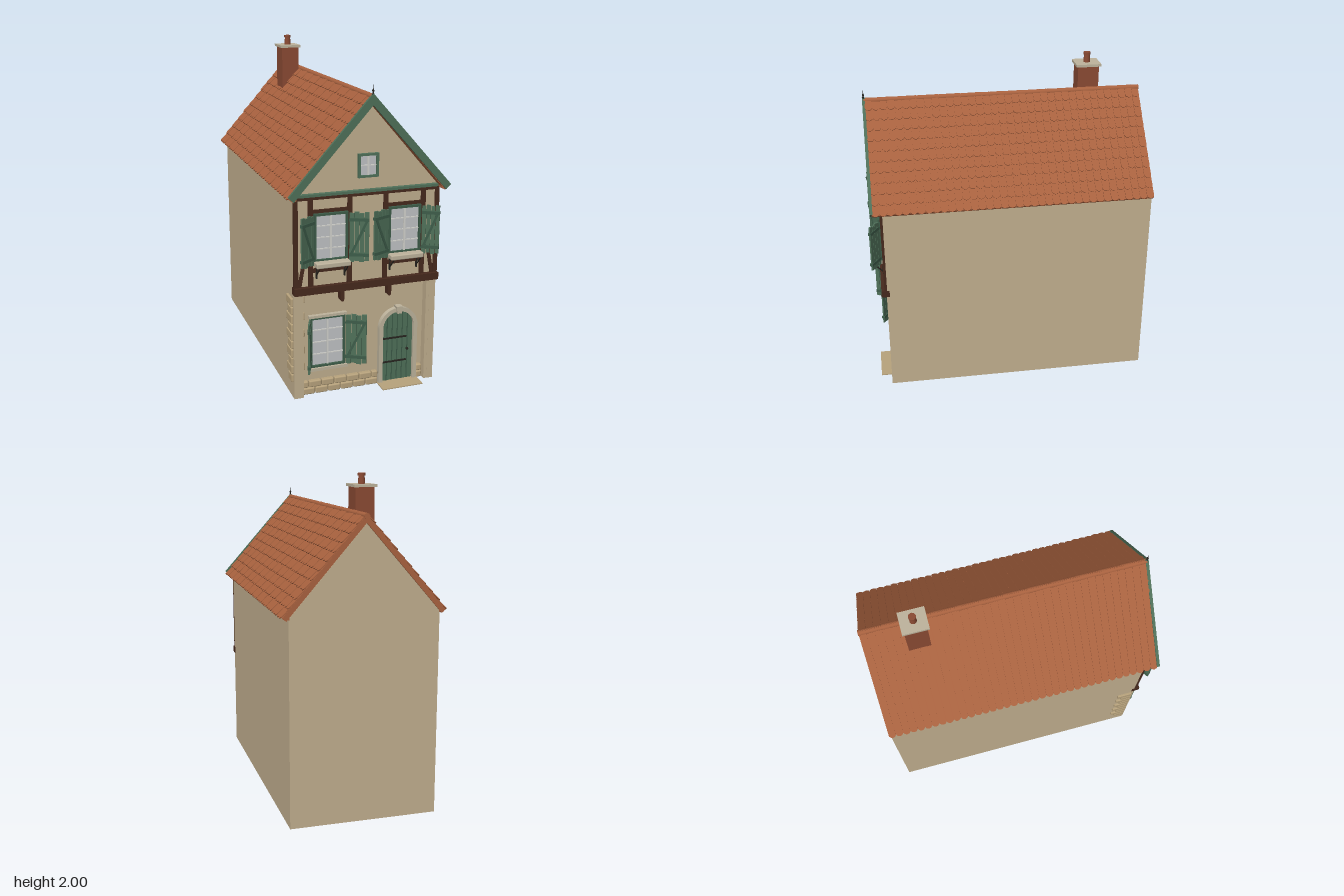
import * as THREE from 'three';
import { mergeGeometries } from 'three/addons/utils/BufferGeometryUtils.js';
import { RoundedBoxGeometry } from 'three/addons/geometries/RoundedBoxGeometry.js';

const mat = (color, side = THREE.FrontSide) => new THREE.MeshStandardMaterial({ color, side });
const PLASTER = mat(0xc0ae8e), TILE = mat(0xa9623f), GREEN = mat(0x4f7059), DARKGREEN = mat(0x3d5c49);
const TIMBER = mat(0x46291d), STONE = mat(0xbdb39c), BLOCK = mat(0xb7a27c), IRON = mat(0x26241f);
const PANE = mat(0xbfc2c4), WHITE = mat(0xd2d2cd), BRICK = mat(0x8a4a33), FLOOR = mat(0x5f5646);

function add(parent, name, geo, material, x = 0, y = 0, z = 0) {
  const m = new THREE.Mesh(geo, material);
  m.name = name;
  m.position.set(x, y, z);
  parent.add(m);
  return m;
}
// Box given by its limits
function box(parent, name, material, x0, x1, y0, y1, z0, z1) {
  return add(parent, name, new THREE.BoxGeometry(x1 - x0, y1 - y0, z1 - z0), material,
    (x0 + x1) / 2, (y0 + y1) / 2, (z0 + z1) / 2);
}
// Straight bar between two points in a plane of constant z
function bar(parent, name, material, x0, y0, x1, y1, z, w, d) {
  const len = Math.hypot(x1 - x0, y1 - y0);
  const m = add(parent, name, new THREE.BoxGeometry(w, len, d), material, (x0 + x1) / 2, (y0 + y1) / 2, z);
  m.rotation.z = -Math.atan2(x1 - x0, y1 - y0);
  return m;
}
function prism(points, depth) {
  const shape = new THREE.Shape(points.map(p => new THREE.Vector2(...p)));
  return new THREE.ExtrudeGeometry(shape, { depth, bevelEnabled: false });
}
function group(parent, name, x = 0, y = 0, z = 0) {
  const g = new THREE.Group();
  g.name = name;
  g.position.set(x, y, z);
  parent.add(g);
  return g;
}

// Framed window with glazing bars, centred on its position
function addWindow(parent, name, x, y, z, w, h, cols, rows, frame) {
  const g = group(parent, name, x, y, z), t = 0.013;
  box(g, 'pane', PANE, -w / 2, w / 2, -h / 2, h / 2, -0.01, 0.004);
  for (const s of [-1, 1]) {
    box(g, 'frameSide', frame, s * w / 2 - t / 2, s * w / 2 + t / 2, -h / 2 - t / 2, h / 2 + t / 2, -0.01, 0.018);
    box(g, 'frameRail', frame, -w / 2, w / 2, s * h / 2 - t / 2, s * h / 2 + t / 2, -0.01, 0.018);
  }
  for (let i = 1; i < cols; i++) {
    const bx = -w / 2 + w * i / cols;
    box(g, 'glazingBar', WHITE, bx - 0.006, bx + 0.006, -h / 2, h / 2, 0, 0.012);
  }
  for (let j = 1; j < rows; j++) {
    const by = -h / 2 + h * j / rows;
    box(g, 'glazingBar', WHITE, -w / 2, w / 2, by - 0.003, by + 0.003, 0, 0.01);
  }
}

// Plank shutter hinged at its position; s = +1 reaches to +x, -1 to -x
function addShutter(parent, x, y, z, s, w, h, angle) {
  const g = group(parent, 'shutter', x, y, z), n = 4, pw = w / n;
  for (let i = 0; i < n; i++) {
    const c = s * (i + 0.5) * pw, lift = i % 2 ? 0.004 : -0.003;
    box(g, 'plank', GREEN, c - pw * 0.46, c + pw * 0.46, -h / 2 + lift, h / 2 + lift, -0.005, 0.005);
  }
  const lo = Math.min(0, s * w), hi = Math.max(0, s * w);
  for (const k of [-1, 1])
    box(g, 'batten', DARKGREEN, lo, hi, k * h * 0.36 - 0.009, k * h * 0.36 + 0.009, -0.009, 0.011);
  bar(g, 'diagonalBrace', DARKGREEN, s * 0.012, -h * 0.35, s * (w - 0.012), h * 0.35, 0.006, 0.014, 0.008);
  g.rotation.y = -s * angle;
}

function addRoof(root) {
  const A = 0.48, B = 0.55, len = Math.hypot(A, B), z0 = -0.862, z1 = 0.845, L = z1 - z0, zc = (z0 + z1) / 2;
  const rows = 11, cols = 38, w = L / cols, step = len / rows;
  // One round-ended tile, slightly lifted at its lower end
  const shape = new THREE.Shape();
  shape.moveTo(w * 0.48, step + 0.01).lineTo(-w * 0.48, step + 0.01).lineTo(-w * 0.48, 0.006);
  shape.quadraticCurveTo(-w * 0.35, -0.008, 0, -0.01).quadraticCurveTo(w * 0.35, -0.008, w * 0.48, 0.006);
  const tile = new THREE.ExtrudeGeometry(shape, { depth: 0.006, bevelEnabled: false, curveSegments: 4 });
  tile.rotateX(-0.09).translate(0, 0, 0.005);
  const tiles = [];
  for (let r = 0; r < rows; r++)
    for (let c = 0; c < cols; c++)
      tiles.push(tile.clone().translate((c + 0.5) * w - L / 2, r * step, 0.0012 * ((c * 7 + r * 5) % 3)));
  const cover = mergeGeometries(tiles);
  for (const s of [-1, 1]) {
    const g = group(root, 'roofSlope');
    const m = new THREE.Matrix4().makeBasis(new THREE.Vector3(0, 0, -s),
      new THREE.Vector3(-s * A / len, B / len, 0), new THREE.Vector3(s * B / len, A / len, 0));
    g.quaternion.setFromRotationMatrix(m);
    g.position.set(s * A, 1.235, zc);
    box(g, 'roofDeck', TILE, -L / 2, L / 2, 0, len, -0.028, 0.002);
    add(g, 'roofTiles', cover, TILE);
    box(root, 'eaveBoard', TILE, s * 0.455 - 0.015, s * 0.455 + 0.015, 1.225, 1.243, z0, z1);
  }
  // Ridge tiles
  for (let i = 0; i < 12; i++) {
    const ridge = add(root, 'ridgeTile', new THREE.CylinderGeometry(0.016, 0.018, L / 12 + 0.006, 10), TILE,
      0, 1.779, z0 + (i + 0.5) * L / 12);
    ridge.rotation.x = Math.PI / 2;
  }
  // Barge boards and finial
  const barge = [[0, 1.8], [-0.49, 1.25], [-0.46, 1.222], [0, 1.735], [0.46, 1.222], [0.49, 1.25]];
  add(root, 'bargeBoards', prism(barge, 0.018), GREEN, 0, 0, 0.84);
  const spike = new THREE.LatheGeometry([[0, 0], [0.008, 0.005], [0.004, 0.02], [0.007, 0.03], [0.002, 0.04], [0, 0.08]]
    .map(p => new THREE.Vector2(...p)), 8);
  add(root, 'finial', spike, IRON, 0, 1.785, 0.85);
  // Chimney
  const ch = group(root, 'chimney', -0.073, 0, -0.545);
  box(ch, 'stack', BRICK, -0.058, 0.058, 1.55, 1.925, -0.066, 0.066);
  box(ch, 'cap', STONE, -0.069, 0.069, 1.922, 1.938, -0.078, 0.078);
  add(ch, 'pot', new THREE.CylinderGeometry(0.018, 0.021, 0.05, 14), BRICK, 0, 1.96, 0);
  add(ch, 'potRim', new THREE.CylinderGeometry(0.022, 0.022, 0.016, 14), BRICK, 0, 1.992, 0);
}

function addBody(root) {
  // Hollow shell with a jettied upper floor
  for (const s of [-1, 1]) {
    box(root, 'sideWall', PLASTER, s * 0.425 - 0.02, s * 0.425 + 0.02, 0, 1.235, -0.858, 0.789);
    box(root, 'cornerPier', PLASTER, s * 0.415 - 0.029, s * 0.415 + 0.029, 0, 0.66, 0.7, 0.788);
  }
  box(root, 'backWall', PLASTER, -0.445, 0.445, 0, 1.23, -0.86, -0.82);
  box(root, 'lowerFrontWall', PLASTER, -0.41, 0.41, 0, 0.66, 0.7, 0.74);
  box(root, 'upperFrontWall', PLASTER, -0.445, 0.445, 0.655, 1.235, 0.7, 0.79);
  const tri = [[-0.445, 1.23], [0.445, 1.23], [0, 1.74]];
  add(root, 'frontGable', prism(tri, 0.04), PLASTER, 0, 0, 0.755);
  add(root, 'backGable', prism(tri, 0.04), PLASTER, 0, 0, -0.86);
  box(root, 'floor', FLOOR, -0.41, 0.41, 0.004, 0.02, 0.25, 0.7);
  box(root, 'innerWall', PLASTER, -0.41, 0.41, 0.004, 1.23, 0.25, 0.28);
  // Corner stones along the side and the inner edge of the pier
  for (let i = 0; i < 10; i++) {
    const long = i % 2 ? 0.1 : 0.07;
    add(root, 'cornerStone', new RoundedBoxGeometry(0.03, 0.049, long, 2, 0.006), BLOCK, -0.443, 0.128 + i * 0.053, 0.775 - long / 2);
    if (i % 2) add(root, 'innerCornerStone', new RoundedBoxGeometry(0.035, 0.049, 0.02, 2, 0.006), BLOCK, -0.383, 0.128 + i * 0.053, 0.738);
  }
  // Plinth stones in two staggered courses
  for (let r = 0; r < 2; r++) {
    const n = 6, w = 0.48 / n;
    for (let i = 0; i <= n; i++) {
      const a = Math.max(-0.387, -0.387 + (i - r * 0.5) * w), b = Math.min(0.093, -0.387 + (i + 1 - r * 0.5) * w);
      if (b - a > 0.01)
        add(root, 'plinthStone', new RoundedBoxGeometry(b - a - 0.004, 0.041, 0.04, 2, 0.008), BLOCK, (a + b) / 2, 0.022 + r * 0.044, 0.745);
    }
    add(root, 'plinthStone', new RoundedBoxGeometry(0.036, 0.041, 0.04, 2, 0.008), BLOCK, 0.365, 0.022 + r * 0.044, 0.745);
  }
}

function archShape(half, spring, path = new THREE.Shape()) {
  path.moveTo(-half, 0).lineTo(half, 0).lineTo(half, spring);
  path.absarc(0, spring, half, 0, Math.PI, false);
  path.lineTo(-half, 0);
  return path;
}

function addDoor(root) {
  const g = group(root, 'door', 0.22, 0, 0.74), spring = 0.36;
  const ext = (shape, depth) => new THREE.ExtrudeGeometry(shape, { depth, bevelEnabled: false, curveSegments: 20 });
  add(g, 'doorLeaf', ext(archShape(0.1, spring), 0.01), GREEN);
  const frame = archShape(0.124, spring);
  frame.holes.push(archShape(0.099, spring, new THREE.Path()));
  add(g, 'doorSurround', ext(frame, 0.03), STONE);
  add(g, 'keystone', prism([[-0.014, 0.45], [0.014, 0.45], [0.02, 0.495], [-0.02, 0.495]], 0.042), STONE);
  for (const dx of [-0.066, -0.033, 0, 0.033, 0.066])
    box(g, 'plankGroove', DARKGREEN, dx - 0.003, dx + 0.003, 0.005, spring + Math.sqrt(0.0098 - dx * dx), 0.008, 0.012);
  for (const y of [0.13, 0.285]) box(g, 'strapHinge', IRON, -0.095, 0.06, y - 0.005, y + 0.005, 0.01, 0.016);
  add(g, 'doorKnob', new THREE.SphereGeometry(0.009, 12, 8), IRON, 0.063, 0.205, 0.02);
  box(root, 'doorstep', BLOCK, 0.09, 0.35, 0, 0.006, 0.74, 0.855);
}

function addTimberFrame(root) {
  box(root, 'jettyBeam', TIMBER, -0.448, 0.448, 0.657, 0.7, 0.77, 0.82);
  box(root, 'topRail', TIMBER, -0.445, 0.445, 1.212, 1.232, 0.785, 0.802);
  box(root, 'gableSill', GREEN, -0.425, 0.425, 1.235, 1.25, 0.785, 0.825);
  box(root, 'lowRail', TIMBER, -0.345, -0.11, 0.782, 0.806, 0.785, 0.8);
  box(root, 'lowRail', TIMBER, 0.11, 0.345, 0.782, 0.806, 0.785, 0.8);
  for (const s of [-1, 1]) {
    for (const [x, w] of [[0.433, 0.026], [0.345, 0.028], [0.11, 0.028]])
      box(root, 'post', TIMBER, s * x - w / 2, s * x + w / 2, 0.7, 1.215, 0.785, 0.801);
    box(root, 'headRail', TIMBER, s * 0.2275 - 0.1175, s * 0.2275 + 0.1175, 1.133, 1.153, 0.785, 0.8);
    bar(root, 'footBrace', TIMBER, s * 0.412, 0.7, s * 0.385, 0.85, 0.794, 0.02, 0.012);
    box(root, 'beamBracket', TIMBER, s * 0.148 - 0.01, s * 0.148 + 0.01, 0.59, 0.66, 0.735, 0.79);
    const tip = add(root, 'bracketFoot', new THREE.CylinderGeometry(0.01, 0.01, 0.05, 12), TIMBER, s * 0.148, 0.588, 0.763);
    tip.rotation.x = Math.PI / 2;
  }
}

function addWindows(root) {
  // Upper windows with shelf sills on iron stays
  for (const s of [-1, 1]) {
    const x = s * 0.226;
    addWindow(root, 'upperWindow', x, 0.99, 0.795, 0.19, 0.27, 2, 4, DARKGREEN);
    add(root, 'windowShelf', new RoundedBoxGeometry(0.205, 0.03, 0.075, 2, 0.006), STONE, x, 0.838, 0.827);
    for (const k of [-1, 1]) {
      const stay = new THREE.LineCurve3(new THREE.Vector3(x + k * 0.085, 0.755, 0.792), new THREE.Vector3(x + k * 0.085, 0.824, 0.86));
      add(root, 'shelfStay', new THREE.TubeGeometry(stay, 1, 0.004, 6), IRON);
      box(root, 'stayFoot', IRON, x + k * 0.085 - 0.004, x + k * 0.085 + 0.004, 0.745, 0.825, 0.79, 0.803);
    }
    addShutter(root, s * 0.12, 0.98, 0.815, -s, 0.115, 0.29, 0.4);
    addShutter(root, s * 0.332, 0.98, 0.812, s, 0.105, 0.29, 0.55);
  }
  // Ground floor window
  addWindow(root, 'lowerWindow', -0.228, 0.328, 0.745, 0.205, 0.305, 2, 4, DARKGREEN);
  box(root, 'lintel', STONE, -0.345, -0.11, 0.484, 0.5, 0.735, 0.765);
  box(root, 'windowSill', STONE, -0.345, -0.105, 0.152, 0.17, 0.735, 0.775);
  addShutter(root, -0.115, 0.328, 0.76, 1, 0.125, 0.31, 0.5);
  addShutter(root, -0.335, 0.328, 0.755, -1, 0.108, 0.31, 1.18);
  // Attic window
  addWindow(root, 'atticWindow', -0.005, 1.388, 0.797, 0.11, 0.125, 2, 2, GREEN);
}

export function createModel() {
  const root = new THREE.Group();
  root.name = 'house';
  addBody(root);
  addRoof(root);
  addDoor(root);
  addTimberFrame(root);
  addWindows(root);
  return root;
}
